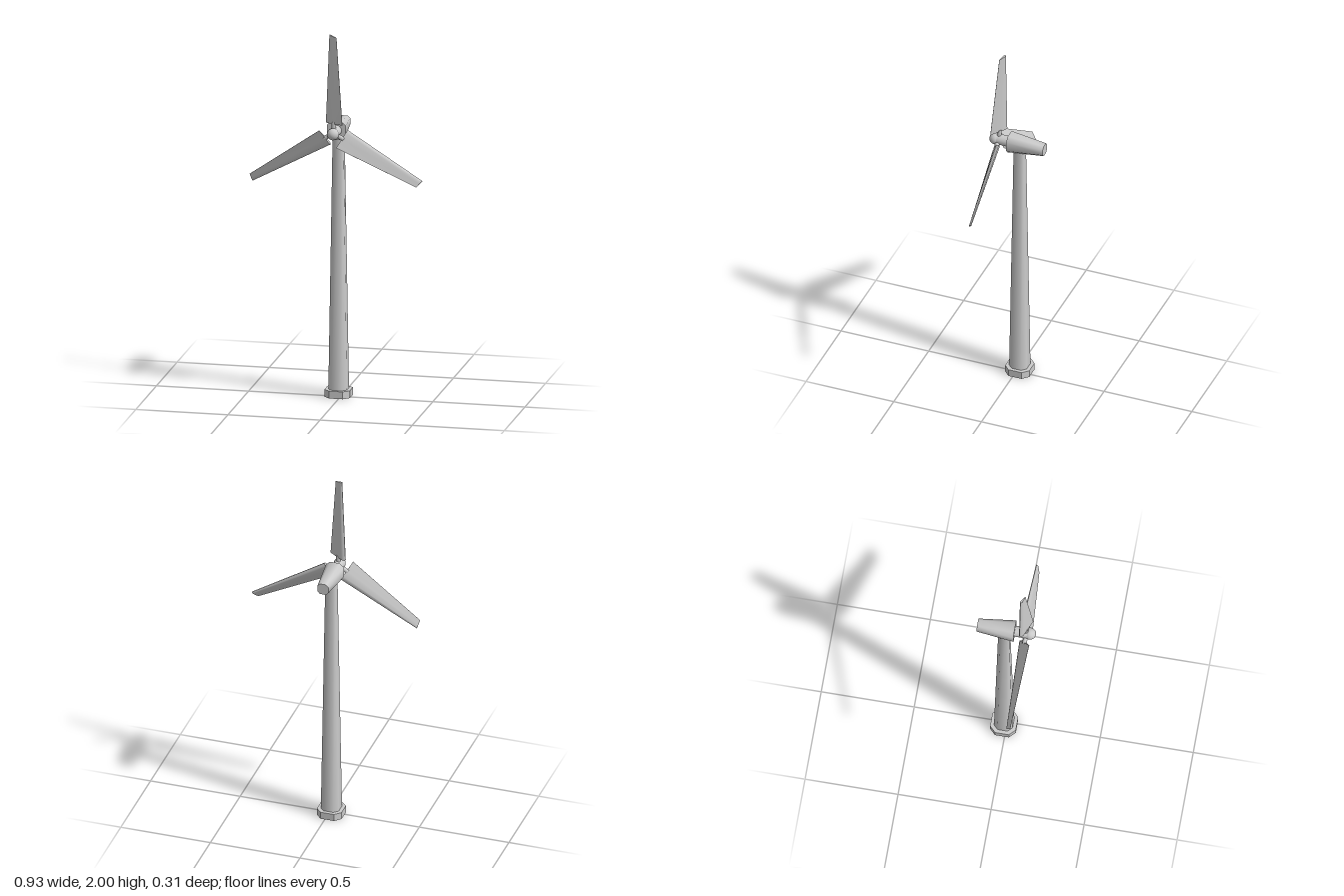
import * as THREE from 'three';
import { toCreasedNormals } from 'three/addons/utils/BufferGeometryUtils.js';

const CX = -0.014, CZ = -0.014; // tower axis
const HUB_Y = 1.468, ROTOR_Z = 0.102;

// Skin over counter-clockwise rings of [x, y, z], stacked along +z, with caps
function loft(rings, crease) {
  const n = rings[0].length, last = (rings.length - 1) * n, index = [];
  for (let r = 0; r < last; r += n) {
    for (let j = 0; j < n; j++) {
      const k = (j + 1) % n;
      index.push(r + j, r + k, r + n + k, r + j, r + n + k, r + n + j);
    }
  }
  for (let j = 1; j < n - 1; j++) {
    index.push(0, j + 1, j, last, last + j, last + j + 1);
  }
  const geo = new THREE.BufferGeometry();
  geo.setAttribute('position', new THREE.Float32BufferAttribute(rings.flat(2), 3));
  geo.setIndex(index);
  return toCreasedNormals(geo, crease);
}

// Square of half-width r with chamfered corners, at height z
function octagon(r, z) {
  const k = r * 0.54;
  return [[r, -k], [r, k], [k, r], [-k, r], [-r, k], [-r, -k], [-k, -r], [k, -r]]
    .map(([x, y]) => [x, y, z]);
}

// Blade cross-section: [position along chord, side], thick at the leading edge
const FOIL = [[0, 0], [0.05, -0.7], [0.18, -1], [0.5, -0.7], [1, -0.06],
  [1, 0.06], [0.5, 0.7], [0.18, 1], [0.05, 0.7]];

function bladeRing(lead, trail, half) {
  const dx = trail[0] - lead[0], dy = trail[1] - lead[1], len = Math.hypot(dx, dy);
  return FOIL.map(([t, s]) => [
    lead[0] + dx * t - (dy / len) * s * half,
    lead[1] + dy * t + (dx / len) * s * half,
    lead[2] + (trail[2] - lead[2]) * t,
  ]);
}

export function createModel() {
  const model = new THREE.Group();
  model.name = 'windTurbine';
  const material = new THREE.MeshStandardMaterial({ color: 0xcccccc });
  const add = (name, geometry, parent = model) => {
    const mesh = new THREE.Mesh(geometry, material);
    mesh.name = name;
    parent.add(mesh);
    return mesh;
  };
  const upright = (geo) => geo.rotateX(-Math.PI / 2);

  // Foundation and tapered tower
  add('base', upright(loft([octagon(0.069, 0), octagon(0.069, 0.04)], 0.4)))
    .position.set(CX, 0, CZ);
  add('tower', upright(loft([octagon(0.05, 0.04), octagon(0.029, 1.45)], 1)))
    .position.set(CX, 0, CZ);

  // Nacelle, narrower at the back
  add('nacelle', loft([octagon(0.031, -0.157), octagon(0.051, 0.044)], 1))
    .position.set(CX, HUB_Y, 0);

  // Rotor: shaft, domed hub and three blades
  const rotor = new THREE.Group();
  rotor.name = 'rotor';
  rotor.position.set(CX, HUB_Y, ROTOR_Z);
  model.add(rotor);

  add('shaft', new THREE.CylinderGeometry(0.029, 0.029, 0.085, 16).rotateX(Math.PI / 2), rotor)
    .position.z = -0.02;
  add('hub', new THREE.SphereGeometry(0.032, 20, 14).rotateX(Math.PI / 2), rotor)
    .position.z = 0.023;

  const bladeGeo = upright(loft([
    bladeRing([-0.048, 0.025, 0.053], [0.053, -0.031, 0.053], 0.011),
    bladeRing([-0.029, 0.024, 0.532], [0.013, 0.004, 0.522], 0.006),
  ], 1));
  const stubGeo = new THREE.CylinderGeometry(0.012, 0.012, 0.05, 12).translate(0, 0.037, 0.002);
  for (let i = 0; i < 3; i++) {
    const arm = new THREE.Group();
    arm.name = 'bladeArm';
    arm.rotation.z = (i * Math.PI * 2) / 3;
    rotor.add(arm);
    add('blade', bladeGeo, arm);
    add('bladeRoot', stubGeo, arm);
  }
  return model;
}
